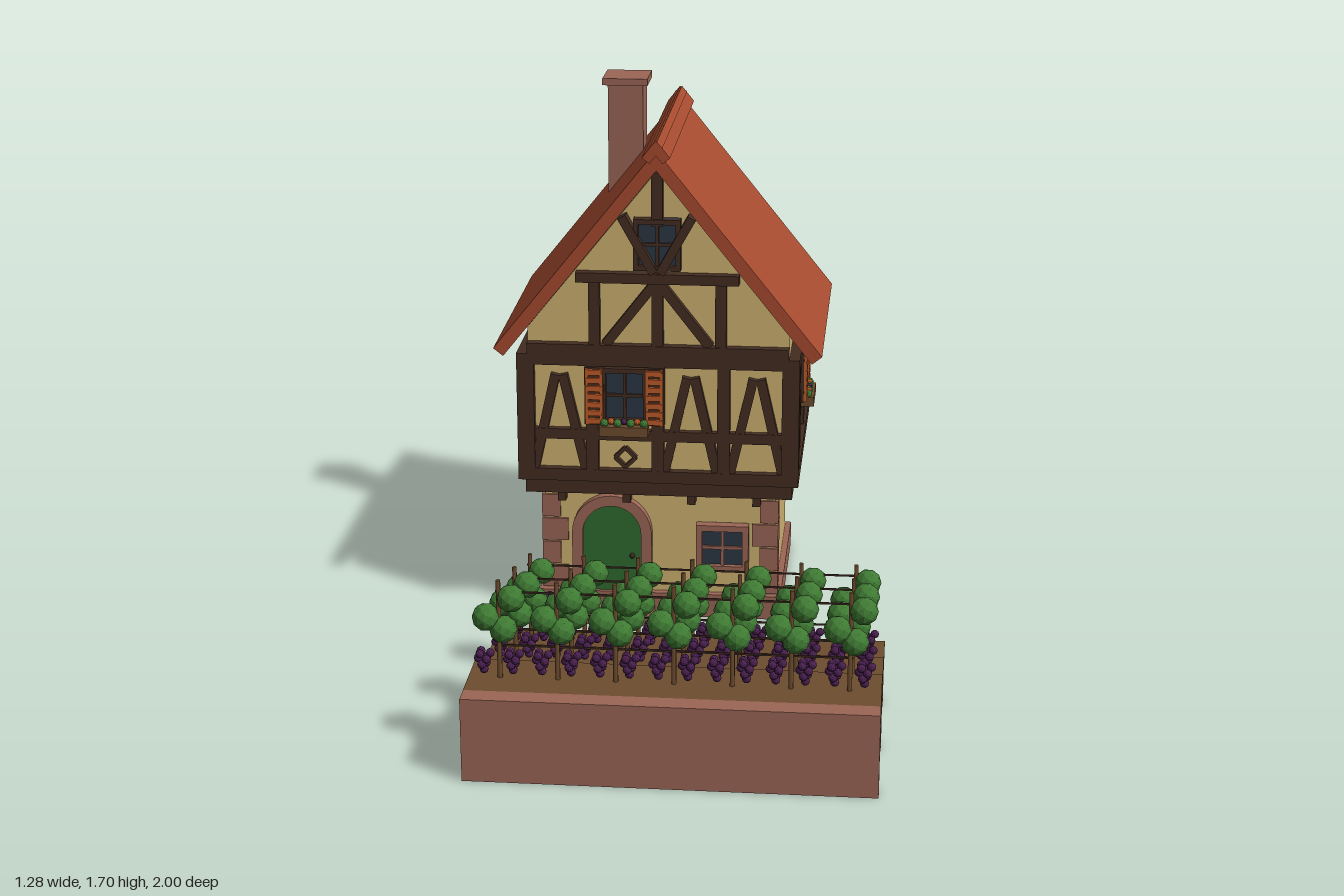
import * as THREE from 'three';
import { mergeGeometries } from 'three/addons/utils/BufferGeometryUtils.js';

const mat = (name, color) => {
  const m = new THREE.MeshStandardMaterial({ color });
  m.name = name;
  return m;
};
const M = {
  plaster: mat('plaster', 0xd0b472), timber: mat('dark timber', 0x432d22),
  roof: mat('roof tile', 0xa84c30), stone: mat('red stone', 0x9c6655),
  soil: mat('brown earth', 0x6e4d2f), leaf: mat('leaf green', 0x3f7a33),
  grape: mat('grape purple', 0x4a2050), glass: mat('dark glass', 0x2c3644),
  shutter: mat('shutter orange', 0xc05c28), door: mat('door green', 0x2f6a2e),
};

function group(name, parent) {
  const g = new THREE.Group();
  g.name = name;
  if (parent) parent.add(g);
  return g;
}
function add(parent, name, geo, m, x = 0, y = 0, z = 0) {
  const mesh = new THREE.Mesh(geo, m);
  mesh.name = name;
  mesh.position.set(x, y, z);
  parent.add(mesh);
  return mesh;
}
const box = (p, name, m, w, h, d, x, y, z) => add(p, name, new THREE.BoxGeometry(w, h, d), m, x, y, z);

// Timber between two points of a facade (wall plane at z = 0)
function beam(p, x1, y1, x2, y2, w = 0.035, d = 0.027) {
  const b = box(p, 'timberBeam', M.timber, w, Math.hypot(x2 - x1, y2 - y1), d, (x1 + x2) / 2, (y1 + y2) / 2, d / 2);
  b.rotation.z = Math.atan2(x1 - x2, y2 - y1);
}
// Faceted ball
function ball(r) {
  const g = new THREE.IcosahedronGeometry(r, 1);
  g.computeVertexNormals();
  return g;
}

function windowUnit(p, x, y, w, h, frameMat, t = 0.016) {
  const g = group('window', p);
  g.position.set(x, y, 0);
  box(g, 'glass', M.glass, w, h, 0.016, 0, 0, 0.008);
  for (const s of [-1, 1]) {
    box(g, 'frameSide', frameMat, t, h, 0.034, s * (w - t) / 2, 0, 0.017);
    box(g, 'frameEnd', frameMat, w, t, 0.034, 0, s * (h - t) / 2, 0.017);
  }
  box(g, 'mullion', frameMat, 0.01, h, 0.024, 0, 0, 0.012);
  box(g, 'transom', frameMat, w, 0.01, 0.024, 0, 0, 0.012);
  return g;
}

// Window with louvred shutters, planter and diamond below
function shutteredBay(p, x) {
  const g = windowUnit(p, x, 0.772, 0.15, 0.185, M.timber);
  for (const s of [-1, 1]) {
    box(g, 'shutterBoard', M.timber, 0.062, 0.19, 0.036, s * 0.096, 0, 0.018);
    for (const e of [-1, 1]) box(g, 'shutterStile', M.shutter, 0.01, 0.186, 0.01, s * 0.096 + e * 0.023, 0, 0.04);
    for (let i = 0; i < 7; i++) box(g, 'shutterSlat', M.shutter, 0.05, 0.017, 0.012, s * 0.096, -0.081 + i * 0.027, 0.041);
  }
  box(g, 'flowerBox', M.soil, 0.155, 0.032, 0.045, 0, -0.108, 0.045);
  const tones = [M.leaf, M.shutter, M.leaf, M.grape, M.leaf, M.shutter, M.leaf];
  tones.forEach((m, i) => add(g, 'flower', ball(m === M.leaf ? 0.014 : 0.011), m, (i - 3) * 0.021, -0.085 + (i % 2) * 0.006, 0.047));
  const r = 0.033;
  for (const s of [-1, 1]) for (const t of [-1, 1]) beam(p, x + s * r, 0.56, x, 0.56 + t * r, 0.012, 0.018);
}

function braces(p, x) {
  for (const s of [-1, 1]) beam(p, x + s * 0.012, 0.835, x + s * 0.085, 0.51, 0.03, 0.022);
}

function facade(house, name, angle, dist, bays, posts, windowBay) {
  const g = group(name, house);
  g.rotation.y = angle;
  g.position.set(Math.sin(angle) * dist, 0, Math.cos(angle) * dist);
  posts.forEach(x => beam(g, x, 0.5, x, 0.89, 0.04));
  bays.forEach((x, i) => (i === windowBay ? shutteredBay(g, x) : braces(g, x)));
  return g;
}

function gableTimbers(g) {
  beam(g, -0.416, 0.905, 0.416, 0.905, 0.07, 0.03);
  beam(g, -0.257, 1.16, 0.257, 1.16, 0.032, 0.032);
  beam(g, 0, 0.93, 0, 1.2, 0.036);
  beam(g, 0, 1.33, 0, 1.5, 0.036);
  for (const s of [-1, 1]) {
    beam(g, s * 0.2, 0.93, s * 0.2, 1.15);
    beam(g, s * 0.165, 0.94, s * 0.01, 1.14, 0.03, 0.024);
    beam(g, s * 0.11, 1.36, s * 0.01, 1.18, 0.028, 0.04);
  }
  windowUnit(g, 0, 1.27, 0.148, 0.165, M.timber);
}

// Outline of an arched opening standing on y = 0
function archShape(shape, r, spring) {
  shape.moveTo(-r, 0);
  shape.lineTo(r, 0);
  shape.lineTo(r, spring);
  shape.absarc(0, spring, r, 0, Math.PI, false);
  shape.lineTo(-r, 0);
  return shape;
}

function groundFloor(house) {
  const g = group('groundFloor', house);
  box(g, 'plinth', M.stone, 0.79, 0.08, 0.675, 0, 0.04, 0.007);
  box(g, 'lowerWall', M.plaster, 0.75, 0.36, 0.63, 0, 0.255, 0.005);
  for (const s of [-1, 1]) for (let i = 0; i < 4; i++) {
    const l = i % 2 ? 0.06 : 0.085;
    box(g, 'cornerStone', M.stone, l, 0.076, l, s * (0.385 - l / 2), 0.122 + i * 0.082, 0.328 - l / 2);
  }
  const door = group('doorway', g);
  door.position.set(-0.155, 0.035, 0.32);
  const surround = archShape(new THREE.Shape(), 0.13, 0.25);
  surround.holes.push(archShape(new THREE.Path(), 0.095, 0.25));
  add(door, 'doorSurround', new THREE.ExtrudeGeometry(surround, { depth: 0.03, bevelEnabled: false, curveSegments: 10 }), M.stone);
  add(door, 'doorLeaf', new THREE.ExtrudeGeometry(archShape(new THREE.Shape(), 0.097, 0.25), { depth: 0.012, bevelEnabled: false, curveSegments: 10 }), M.door);
  add(door, 'doorKnob', ball(0.009), M.timber, 0.065, 0.17, 0.018);
  box(g, 'doorStep', M.stone, 0.28, 0.035, 0.12, -0.155, 0.0175, 0.375);
  const front = group('groundWindow', g);
  front.position.z = 0.32;
  windowUnit(front, 0.205, 0.245, 0.17, 0.16, M.stone, 0.02);
}

function upperFloor(house) {
  const g = group('upperFloor', house);
  const s = new THREE.Shape([[-0.416, 0.47], [0.416, 0.47], [0.416, 0.985], [0, 1.503], [-0.416, 0.985]].map(p => new THREE.Vector2(...p)));
  add(g, 'upperWall', new THREE.ExtrudeGeometry(s, { depth: 0.73, bevelEnabled: false }), M.plaster, 0, 0, -0.365);
  box(g, 'jettyBeam', M.timber, 0.86, 0.055, 0.74, 0, 0.457, 0);
  box(g, 'sillBeam', M.timber, 0.9, 0.04, 0.785, 0, 0.5, 0);
  box(g, 'midRail', M.timber, 0.88, 0.034, 0.776, 0, 0.637, 0);
  box(g, 'wallPlate', M.timber, 0.9, 0.036, 0.785, 0, 0.887, 0);
  for (const x of [-1, 1]) for (const z of [-1, 1]) box(g, 'cornerPost', M.timber, 0.055, 0.425, 0.055, x * 0.4225, 0.692, z * 0.365);
  for (let i = 0; i < 4; i++) {
    box(g, 'sideJoist', M.timber, 0.84, 0.04, 0.026, 0, 0.418, 0.27 - i * 0.182);
    box(g, 'frontJoist', M.timber, 0.026, 0.04, 0.72, -0.315 + i * 0.21, 0.418, 0);
  }
  for (const a of [0, Math.PI]) {
    const end = facade(g, a ? 'backFacade' : 'frontFacade', a, 0.365, [-0.315, -0.105, 0.105, 0.315], [-0.21, 0, 0.21], 1);
    gableTimbers(end);
    facade(g, a ? 'leftFacade' : 'rightFacade', a + Math.PI / 2, 0.416, [-0.242, 0, 0.242], [-0.135, 0.135], 1);
  }
}

function roof(house) {
  for (const a of [0, Math.PI]) {
    const side = group('roofSide', house);
    side.rotation.y = a;
    const slope = group('roofSlope', side);
    slope.position.y = 1.575;
    slope.rotation.z = -Math.atan(1.25);
    const z = a ? 0.005 : -0.005;
    box(slope, 'roofSlab', M.roof, 0.832, 0.04, 0.83, 0.416, -0.02, z);
    box(slope, 'ridgeTile', M.roof, 0.065, 0.03, 0.84, 0.0125, 0.005, z);
  }
  box(house, 'chimney', M.stone, 0.115, 0.6, 0.115, -0.15, 1.38, -0.145);
  box(house, 'chimneyCap', M.stone, 0.147, 0.022, 0.147, -0.15, 1.685, -0.145);
}

// Hanging bunch: rings of grapes tapering downwards
function bunchGeometry() {
  const parts = [];
  [3, 3, 2, 1].forEach((n, row) => {
    for (let i = 0; i < n; i++) {
      const a = (i / n) * Math.PI * 2 + row, r = n > 1 ? 0.019 - row * 0.003 : 0;
      parts.push(ball(0.013).translate(Math.cos(a) * r, -row * 0.017, Math.sin(a) * r * 0.7));
    }
  });
  return mergeGeometries(parts);
}

function terrace(root, zFront, top, bunch, leaf) {
  const g = group('vineyardTerrace', root);
  g.position.x = 0.046;
  box(g, 'retainingWall', M.stone, 1.185, top, 0.062, 0, top / 2, zFront - 0.031);
  box(g, 'soilBed', M.soil, 1.185, 0.022, 0.215, 0, top - 0.011, zFront - 0.1695);
  const z = zFront - 0.16;
  for (const h of [0.1, 0.265]) box(g, 'trellisWire', M.timber, 1.02, 0.005, 0.005, 0, top + h, z);
  for (let i = 0; i < 7; i++) {
    const vine = group('vine', g);
    vine.position.set((i - 3) * 0.167, top, z);
    add(vine, 'vinePost', new THREE.CylinderGeometry(0.007, 0.008, 0.33, 6), M.soil, 0, 0.135, 0);
    for (const [x, y] of [[0.036, 0.245], [-0.037, 0.185], [0.012, 0.15]]) add(vine, 'foliage', leaf, M.leaf, x, y, 0);
    for (const s of [-1, 1]) add(vine, 'grapeBunch', bunch, M.grape, s * 0.042, 0.085, 0.023);
  }
}

function basket(root, x, z) {
  const g = group('grapeBasket', root);
  g.position.set(x, 0, z);
  const prof = [[0, 0], [0.042, 0], [0.054, 0.062]].map(p => new THREE.Vector2(...p));
  add(g, 'basketBody', new THREE.LatheGeometry(prof, 12), M.soil);
  add(g, 'basketRim', new THREE.TorusGeometry(0.053, 0.005, 6, 12).rotateX(Math.PI / 2), M.soil, 0, 0.062, 0);
  for (let i = 0; i < 6; i++) {
    const a = i * 2.4, r = i ? 0.03 : 0;
    add(g, 'grape', ball(0.017), M.grape, Math.cos(a) * r, i ? 0.068 + (i % 3) * 0.008 : 0.09, Math.sin(a) * r);
  }
}

export function createModel() {
  const root = group('vineyardHouse');
  const house = group('house', root);
  house.position.set(-0.1025, 0, -0.57);
  groundFloor(house);
  upperFloor(house);
  roof(house);
  const bunch = bunchGeometry(), leaf = ball(0.041);
  [[0.998, 0.255], [0.703, 0.174], [0.403, 0.094]].forEach(([z, y]) => terrace(root, z, y, bunch, leaf));
  basket(root, -0.587, -0.127);
  basket(root, -0.458, -0.127);
  return root;
}
